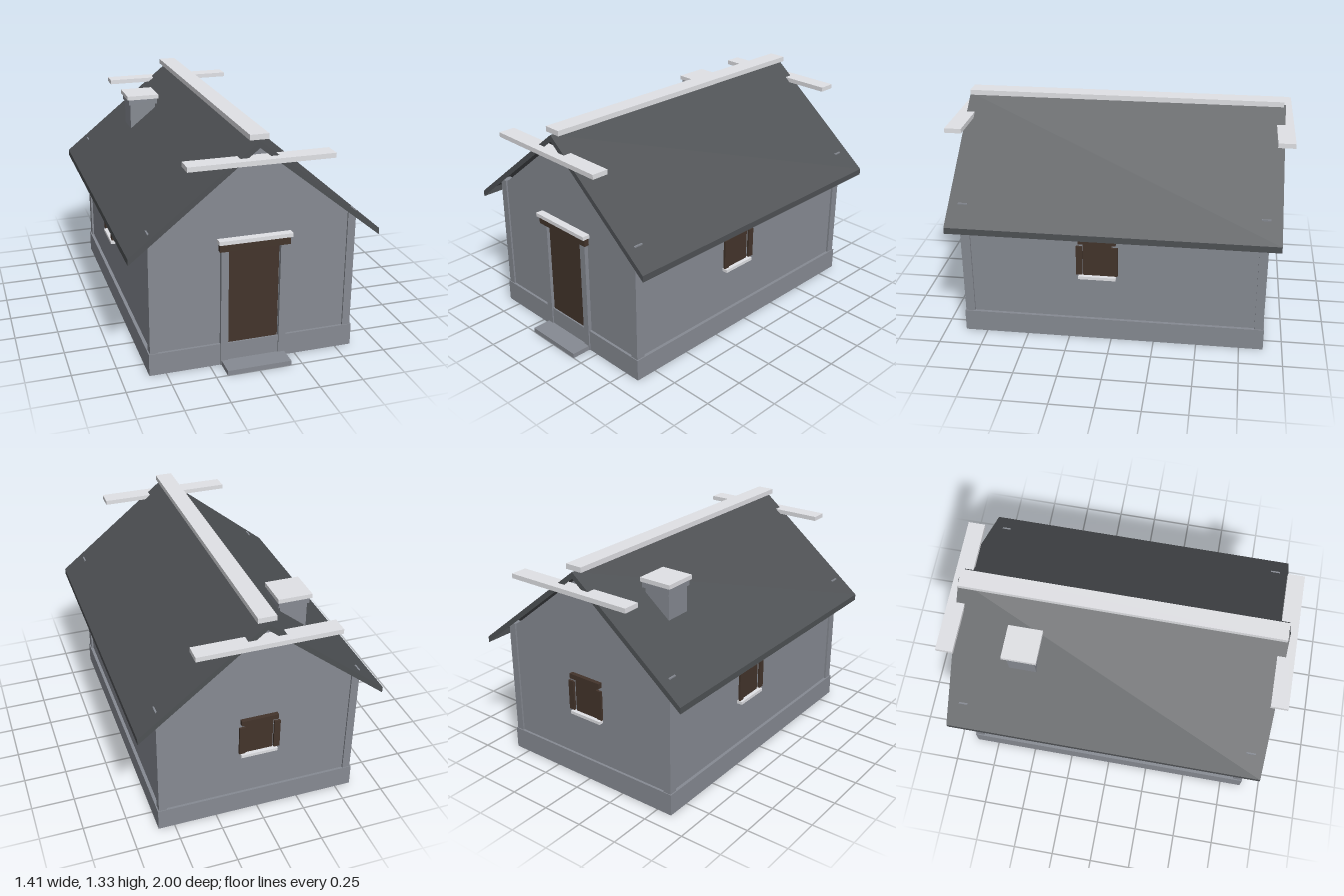
import * as THREE from 'three';

// Parts are hollow and open underneath, so both sides of each face show
const material = (name, color) => {
  const m = new THREE.MeshStandardMaterial({ color, side: THREE.DoubleSide });
  m.name = name;
  return m;
};

export function createModel() {
  const stone = material('grey stone', 0x868a92);
  const slate = material('dark slate', 0x4e5154);
  const wood = material('dark wood', 0x43342b);
  const pale = material('pale timber', 0xe0e1e5);

  const house = new THREE.Group();
  house.name = 'cottage';

  // Box without a bottom face, given by its minimum and maximum along each axis
  const box = (name, mat, [x0, x1], [y0, y1], [z0, z1], parent = house) => {
    const geometry = new THREE.BoxGeometry(x1 - x0, y1 - y0, z1 - z0);
    geometry.translate((x0 + x1) / 2, (y0 + y1) / 2, (z0 + z1) / 2);
    const index = Array.from(geometry.index.array);
    index.splice(18, 6);
    geometry.setIndex(index);
    geometry.clearGroups();
    const mesh = new THREE.Mesh(geometry, mat);
    mesh.name = name;
    parent.add(mesh);
    return mesh;
  };

  // Walls with gables
  const outline = [[-0.576, 0.13], [0.576, 0.13], [0.576, 0.8], [0, 1.262], [-0.576, 0.8]];
  const wallShape = new THREE.Shape(outline.map(([x, y]) => new THREE.Vector2(x, y)));
  const walls = new THREE.Mesh(new THREE.ExtrudeGeometry(wallShape, { depth: 1.74, bevelEnabled: false }), stone);
  walls.position.z = -0.875;
  walls.name = 'walls';
  house.add(walls);

  // Plinth and corner posts
  box('plinth', stone, [-0.595, 0.595], [0, 0.13], [-0.89, 0.88]);
  for (const s of [-1, 1]) {
    const xs = s > 0 ? [0.542, 0.588] : [-0.588, -0.542];
    box('frontCornerPost', stone, xs, [0.13, 0.834], [0.82, 0.875]);
    box('backCornerPost', stone, xs, [0.13, 0.834], [-0.885, -0.834]);
  }

  // Roof slopes: flat slabs sheared down towards the eaves
  for (const s of [-1, 1]) {
    const slope = box('roofSlope', slate, s > 0 ? [0, 0.705] : [-0.705, 0], [1.26, 1.297], [-0.95, 0.93]);
    const p = slope.geometry.attributes.position;
    for (let i = 0; i < p.count; i++) p.setY(i, p.getY(i) - Math.abs(p.getX(i)) * 0.8);
    slope.geometry.computeVertexNormals();
  }

  // Ridge cap and crossing gable planks
  box('ridgeCap', pale, [-0.052, 0.052], [1.3, 1.33], [-0.937, 0.917]);
  box('frontGablePlank', pale, [-0.402, 0.402], [1.185, 1.212], [0.882, 0.98]);
  box('backGablePlank', pale, [-0.402, 0.402], [1.185, 1.212], [-1, -0.902]);

  // Chimney
  box('chimneyStack', stone, [-0.37, -0.21], [0.92, 1.16], [-0.61, -0.45]);
  box('chimneyCollar', stone, [-0.38, -0.197], [1.155, 1.19], [-0.62, -0.44]);
  box('chimneyCap', pale, [-0.39, -0.19], [1.19, 1.215], [-0.63, -0.43]);

  // Doorway, with the door running down behind the plinth
  box('door', wood, [-0.144, 0.144], [0.005, 0.68], [0.84, 0.871]);
  for (const s of [-1, 1]) {
    const xs = s > 0 ? [0.148, 0.19] : [-0.19, -0.148];
    box('doorPost', stone, xs, [0, 0.69], [0.845, 0.888]);
  }
  box('doorLintel', wood, [-0.2, 0.2], [0.688, 0.734], [0.86, 0.895]);
  box('doorHood', pale, [-0.208, 0.208], [0.734, 0.756], [0.86, 0.91]);
  box('doorStep', stone, [-0.185, 0.185], [0, 0.028], [0.882, 1]);

  // Shuttered windows, built facing +z and turned onto their wall
  const addWindow = (name, x, z, turn) => {
    const g = new THREE.Group();
    g.name = name;
    box('pane', wood, [-0.083, 0.083], [0.42, 0.625], [-0.006, 0.007], g);
    box('leftShutter', wood, [0.084, 0.12], [0.43, 0.61], [0.012, 0.025], g);
    box('rightShutter', wood, [-0.12, -0.084], [0.43, 0.61], [0.012, 0.025], g);
    box('windowLintel', wood, [-0.108, 0.108], [0.625, 0.655], [-0.006, 0.025], g);
    box('windowSill', pale, [-0.108, 0.108], [0.402, 0.42], [-0.006, 0.03], g);
    g.position.set(x, 0, z);
    g.rotation.y = turn;
    house.add(g);
  };
  addWindow('rightWallWindow', 0.58, 0.079, Math.PI / 2);
  addWindow('leftWallWindow', -0.58, -0.13, -Math.PI / 2);
  addWindow('backWindow', 0, -0.875, Math.PI);

  return house;
}
